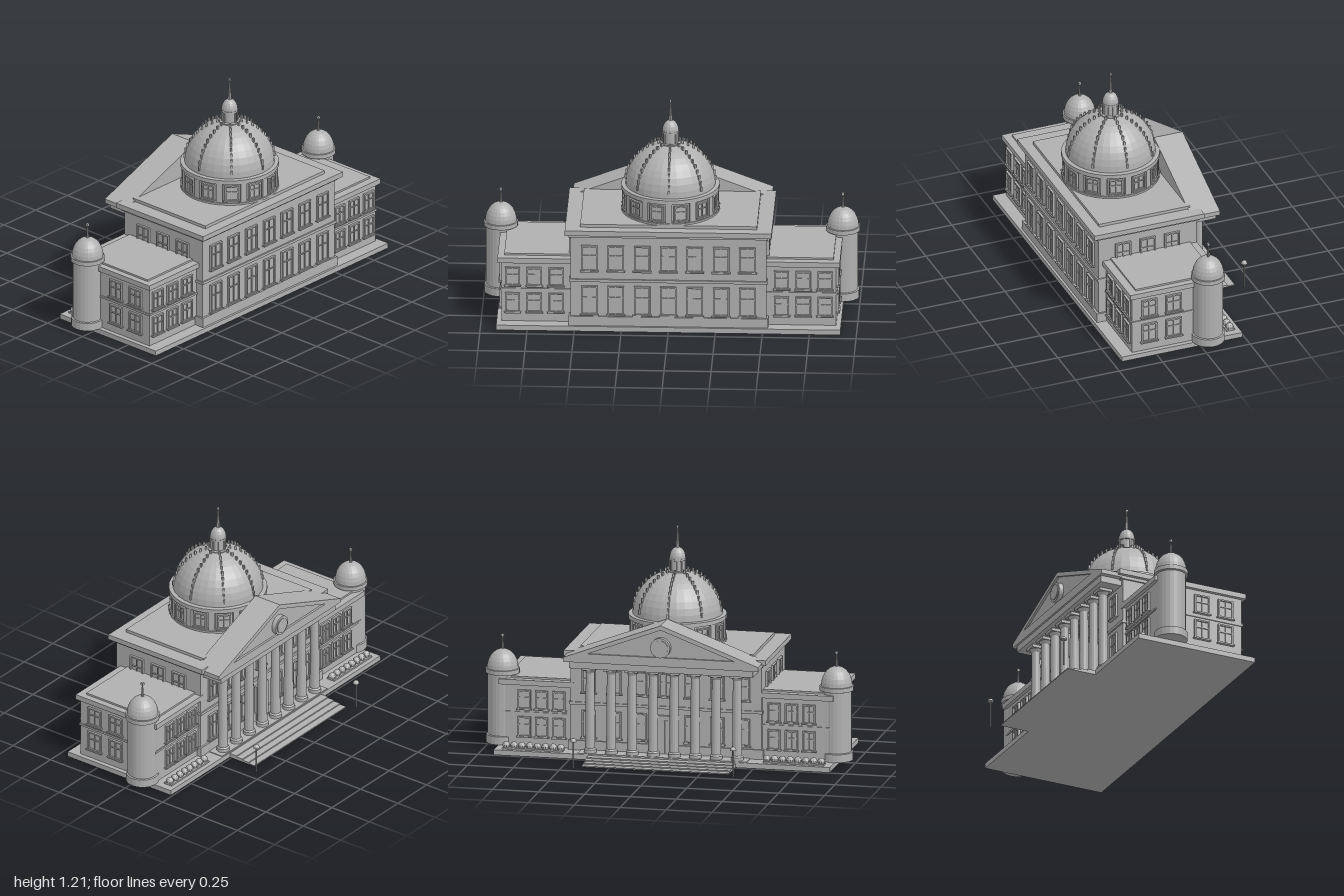
import * as THREE from 'three';

export function createModel() {
  const model = new THREE.Group();
  model.name = 'domedCourthouse';
  const stone = new THREE.MeshStandardMaterial({ color: 0xb0b0b0, flatShading: true });

  const add = (geo, name, x = 0, y = 0, z = 0, parent = model) => {
    const m = new THREE.Mesh(geo, stone);
    m.name = name;
    m.position.set(x, y, z);
    parent.add(m);
    return m;
  };
  // Box given by its minimum and maximum on each axis
  const block = (name, x0, x1, y0, y1, z0, z1, parent = model) =>
    add(new THREE.BoxGeometry(x1 - x0, y1 - y0, z1 - z0), name,
      (x0 + x1) / 2, (y0 + y1) / 2, (z0 + z1) / 2, parent);
  // Turned part from [radius, height] pairs
  const lathe = (name, pts, seg, x, y, z, parent = model) =>
    add(new THREE.LatheGeometry(pts.map(p => new THREE.Vector2(p[0], p[1])), seg), name, x, y, z, parent);
  // Quarter-ellipse profile for domes
  const arc = (r, h, y, n, rEnd = 0) => Array.from({ length: n + 1 }, (_, i) => {
    const a = (i / n) * Math.PI / 2;
    return [Math.max(r * Math.cos(a), i === n ? rEnd : 0), y + h * Math.sin(a)];
  });

  // Framed window facing its group's +z, centred at its origin
  const windowUnit = (name, w, h, x, y, z, turn, parent = model) => {
    const g = new THREE.Group();
    g.name = name;
    g.position.set(x, y, z);
    g.rotation.y = turn;
    const t = 0.008, d = 0.012;
    block('windowPane', -w / 2, w / 2, -h / 2, h / 2, -0.004, 0.003, g);
    for (const s of [-1, 1]) {
      add(new THREE.BoxGeometry(t, h, d), 'windowJamb', s * (w - t) / 2, 0, d / 2, g);
      add(new THREE.BoxGeometry(w, t, d), 'windowRail', 0, s * (h - t) / 2, d / 2, g);
    }
    add(new THREE.BoxGeometry(0.005, h, 0.009), 'mullion', 0, 0, 0.0045, g);
    add(new THREE.BoxGeometry(w, 0.005, 0.009), 'transom', 0, h * 0.1, 0.0045, g);
    add(new THREE.BoxGeometry(w + 0.012, 0.007, 0.018), 'windowSill', 0, -h / 2, 0.009, g);
    parent.add(g);
  };

  // Base and front steps
  block('base', -0.915, 0.915, 0, 0.028, -0.24, 0.45);
  for (let i = 0; i < 4; i++)
    block('step', -0.4, 0.4, 0, 0.006 * (i + 1), -0.405 + i * 0.04, -0.2);

  // Central block with plinth, belt course, cornice and roof
  const back = 0.425, front = -0.137;
  block('mainBlock', -0.52, 0.52, 0.028, 0.55, front, back);
  block('mainPlinth', -0.53, 0.53, 0.028, 0.08, front - 0.01, back + 0.012);
  block('beltCourse', -0.526, 0.526, 0.275, 0.29, front - 0.008, back + 0.008);
  block('mainFrieze', -0.53, 0.53, 0.53, 0.547, front - 0.012, back + 0.012);
  block('mainCornice', -0.55, 0.55, 0.547, 0.575, -0.17, 0.458);
  block('mainRoof', -0.47, 0.47, 0.575, 0.592, -0.12, 0.4);
  for (let i = -3; i <= 3; i++) {
    const x = i * 0.14;
    windowUnit('backUpperWindow', 0.087, 0.145, x, 0.41, back, 0);
    windowUnit('backLowerWindow', 0.087, 0.165, x, 0.17, back, 0);
    windowUnit('frontUpperWindow', 0.075, 0.13, x, 0.405, front, Math.PI);
    if (i) windowUnit('frontLowerWindow', 0.075, 0.15, x, 0.17, front, Math.PI);
  }
  // Front door
  block('doorFrame', -0.05, 0.05, 0.028, 0.24, front - 0.016, front);
  for (const s of [-1, 1])
    add(new THREE.BoxGeometry(0.036, 0.18, 0.006), 'doorLeaf', s * 0.021, 0.125, front - 0.017);

  // Side wings, corner towers, shrubs and lamps
  for (const s of [-1, 1]) {
    const wing = new THREE.Group();
    wing.name = s > 0 ? 'leftWing' : 'rightWing';
    model.add(wing);
    const span = (name, a, b, y0, y1, z0, z1) =>
      block(name, Math.min(s * a, s * b), Math.max(s * a, s * b), y0, y1, z0, z1, wing);
    span('wingBlock', 0.5, 0.89, 0.028, 0.37, -0.12, 0.382);
    span('wingBelt', 0.5, 0.896, 0.205, 0.216, -0.126, 0.388);
    span('wingCornice', 0.5, 0.91, 0.363, 0.392, -0.14, 0.4);
    span('wingRoof', 0.5, 0.875, 0.392, 0.402, -0.1, 0.355);
    for (const [y, h] of [[0.135, 0.11], [0.283, 0.105]]) {
      for (let i = 0; i < 3; i++) {
        windowUnit('wingBackWindow', 0.08, h, s * (0.6 + i * 0.115), y, 0.382, 0, wing);
        windowUnit('wingFrontWindow', 0.07, h, s * (0.585 + i * 0.095), y, -0.12, Math.PI, wing);
      }
      for (const z of [0.285, 0.145])
        windowUnit('wingSideWindow', 0.088, h, s * 0.89, y, z, s * Math.PI / 2, wing);
    }
    for (const z of [0.285, 0.145, 0.005])
      windowUnit('mainSideWindow', 0.088, 0.145, s * 0.52, 0.412, z, s * Math.PI / 2, wing);

    // Round corner tower with domed cap and spire
    lathe('tower', [[0, 0.028], [0.088, 0.028], [0.088, 0.072], [0.08, 0.075], [0.08, 0.405],
      [0.091, 0.408], [0.091, 0.432], [0.084, 0.433], ...arc(0.084, 0.104, 0.433, 7)], 24, s * 0.909, 0, -0.046, wing);
    lathe('towerSpire', [[0, 0.53], [0.008, 0.53], [0.003, 0.605], [0, 0.605]], 8, s * 0.909, 0, -0.046, wing);
    add(new THREE.BoxGeometry(0.014, 0.014, 0.014), 'towerFinial', s * 0.909, 0.611, -0.046, wing);

    // Planting bed with a row of shrubs
    span('plantingBed', 0.545, 0.875, 0.028, 0.036, -0.215, -0.165);
    for (let i = 0; i < 8; i++)
      add(new THREE.SphereGeometry(0.021, 10, 7), 'shrub', s * (0.56 + i * 0.0425), 0.045, -0.19, wing);

    // Lamp post
    add(new THREE.CylinderGeometry(0.004, 0.004, 0.148, 8), 'lampPost', s * 0.435, 0.074, -0.445, wing);
    lathe('lampShade', [[0, 0.146], [0.017, 0.146], ...arc(0.017, 0.018, 0.147, 4)], 12, s * 0.435, 0, -0.445, wing);
  }

  // Portico columns
  block('porticoFloor', -0.46, 0.46, 0.024, 0.032, -0.235, -0.13);
  for (let i = 0; i < 8; i++) {
    const x = -0.4 + i * 0.8 / 7;
    lathe('column', [[0, 0.03], [0.034, 0.03], [0.034, 0.05], [0.027, 0.058], [0.025, 0.25],
      [0.023, 0.468], [0.033, 0.485], [0, 0.485]], 16, x, 0, -0.195);
    add(new THREE.BoxGeometry(0.074, 0.016, 0.074), 'columnAbacus', x, 0.493, -0.195);
  }

  // Entablature and pediment
  block('architrave', -0.5, 0.5, 0.5, 0.536, -0.258, -0.13);
  block('porticoCornice', -0.53, 0.53, 0.536, 0.56, -0.268, -0.13);
  const triangle = (S, hw, y0, y1) => {
    const sh = new S();
    sh.moveTo(-hw, y0);
    sh.lineTo(hw, y0);
    sh.lineTo(0, y1);
    sh.closePath();
    return sh;
  };
  const extrude = (sh, depth) => new THREE.ExtrudeGeometry(sh, { depth, bevelEnabled: false });
  const rim = triangle(THREE.Shape, 0.53, 0.56, 0.76);
  rim.holes.push(triangle(THREE.Path, 0.4, 0.585, 0.735));
  add(extrude(rim, 0.012), 'pedimentRim', 0, 0, -0.268);
  add(extrude(triangle(THREE.Shape, 0.53, 0.56, 0.76), 0.151), 'pediment', 0, 0, -0.256);
  const medallion = new THREE.Group();
  medallion.name = 'medallion';
  medallion.position.set(0, 0.64, -0.268);
  medallion.rotation.x = -Math.PI / 2;
  model.add(medallion);
  add(new THREE.CylinderGeometry(0.054, 0.054, 0.028, 24), 'medallionDisc', 0, 0, 0, medallion);
  add(new THREE.CylinderGeometry(0.042, 0.042, 0.006, 24), 'medallionFace', 0, 0.016, 0, medallion);

  // Drum, ribbed dome, lantern and spire
  const dome = new THREE.Group();
  dome.name = 'dome';
  dome.position.z = 0.145;
  model.add(dome);
  lathe('drum', [[0, 0.59], [0.262, 0.59], [0.262, 0.602], [0.243, 0.604], [0.243, 0.708],
    [0.262, 0.712], [0.262, 0.735], [0.24, 0.737], [0, 0.737]], 36, 0, 0, 0, dome);
  for (let i = 0; i < 12; i++) {
    const a = (i + 0.5) * Math.PI / 6, b = i * Math.PI / 6;
    windowUnit('drumWindow', 0.074, 0.088, 0.243 * Math.sin(a), 0.654, 0.243 * Math.cos(a), a, dome);
    const p = add(new THREE.BoxGeometry(0.034, 0.112, 0.02), 'drumPilaster',
      0.246 * Math.sin(b), 0.657, 0.246 * Math.cos(b), dome);
    p.rotation.y = b;
  }
  lathe('domeShell', arc(0.24, 0.235, 0.735, 10), 32, 0, 0, 0, dome);
  for (let i = 0; i < 8; i++) {
    const a = i * Math.PI / 4;
    for (let k = 0; k < 10; k++) {
      const e = (8 + k * 7.4) * Math.PI / 180, r = 0.242 * Math.cos(e);
      const stud = add(new THREE.BoxGeometry(0.01, 0.025, 0.01), 'domeStud',
        r * Math.sin(a), 0.735 + 0.24 * Math.sin(e), r * Math.cos(a), dome);
      stud.rotation.y = a;
    }
  }
  lathe('lantern', [[0.055, 0.95], [0.055, 0.968], [0.041, 0.97], [0.041, 1.024], [0.046, 1.026],
    [0.046, 1.036], ...arc(0.044, 0.06, 1.036, 6)], 16, 0, 0, 0, dome);
  for (let i = 0; i < 8; i++) {
    const a = i * Math.PI / 4;
    add(new THREE.BoxGeometry(0.009, 0.058, 0.009), 'lanternPost', 0.041 * Math.sin(a), 0.997, 0.041 * Math.cos(a), dome).rotation.y = a;
  }
  lathe('spire', [[0, 1.085], [0.012, 1.085], [0.003, 1.205], [0, 1.205]], 8, 0, 0, 0, dome);
  add(new THREE.BoxGeometry(0.012, 0.012, 0.012), 'finial', 0, 1.206, 0, dome);

  return model;
}
